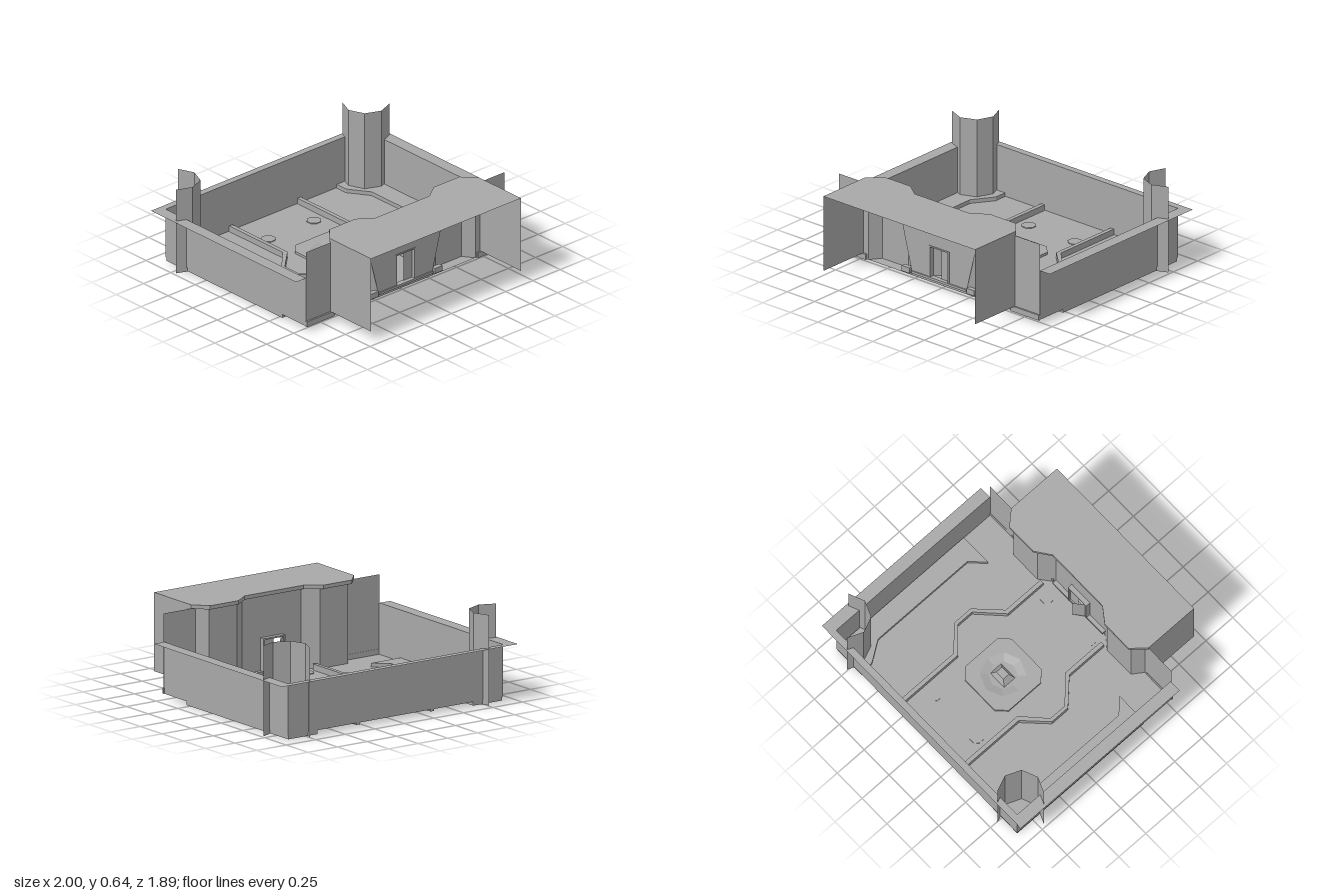
import * as THREE from 'three';

export function createModel() {
  const group = new THREE.Group();
  const grey = new THREE.MeshStandardMaterial({ color: 0xa8a8a8, side: THREE.DoubleSide });
  grey.name = 'plain grey';

  const add = (name, geometry, x = 0, y = 0, z = 0) => {
    const mesh = new THREE.Mesh(geometry, grey);
    mesh.name = name;
    mesh.position.set(x, y, z);
    group.add(mesh);
    return mesh;
  };
  const box = (name, x0, x1, y0, y1, z0, z1) =>
    add(name, new THREE.BoxGeometry(Math.abs(x1 - x0), y1 - y0, z1 - z0),
      (x0 + x1) / 2, (y0 + y1) / 2, (z0 + z1) / 2);

  // Upright thin wall that follows [x, z] points
  const ribbon = (name, pts, y0, y1) => {
    const v = [];
    for (let i = 0; i + 1 < pts.length; i++) {
      const [ax, az] = pts[i], [bx, bz] = pts[i + 1];
      v.push(ax, y0, az, bx, y0, bz, bx, y1, bz, ax, y0, az, bx, y1, bz, ax, y1, az);
    }
    const g = new THREE.BufferGeometry();
    g.setAttribute('position', new THREE.Float32BufferAttribute(v, 3));
    g.computeVertexNormals();
    return add(name, g);
  };
  // Plan outlines in [x, z]
  const outline = pts => pts.map(([x, z]) => new THREE.Vector2(x, -z));
  const sheet = (name, pts, y) =>
    add(name, new THREE.ShapeGeometry(new THREE.Shape(outline(pts))).rotateX(-Math.PI / 2), 0, y, 0);
  const slab = (name, pts, y0, y1, hole) => {
    const shape = new THREE.Shape(outline(pts));
    if (hole) shape.holes.push(new THREE.Path(outline(hole)));
    const g = new THREE.ExtrudeGeometry(shape, { depth: y1 - y0, bevelEnabled: false });
    return add(name, g.rotateX(-Math.PI / 2), 0, y0, 0);
  };
  const mirror = (pts, s) => pts.map(([x, z]) => [x * s, z]);
  const bothSides = half => [...half, ...mirror(half, -1).reverse()];

  // Floor, outer walls and flat rim
  const facade = [[0.66, 0.53], [0.645, 0.53], [0.59, 0.45], [0.35, 0.45], [0.25, 0.53]];
  sheet('floor', bothSides([[0.91, -0.9], [0.91, 0.53], [0.25, 0.53]]), 0.037);
  ribbon('outerWalls', [[-0.91, 0.53], [-0.91, -0.9], [0.91, -0.9], [0.91, 0.53]], 0.035, 0.4);
  sheet('rim', [[-1, 0.525], [-1, -0.95], [1, -0.95], [1, 0.525],
    [0.91, 0.525], [0.91, -0.9], [-0.91, -0.9], [-0.91, 0.525]], 0.4);

  // Parts repeated on both sides
  const pad = [[0.905, 0.28], [0.66, 0.28], [0.76, 0.18], [0.76, -0.65],
    [0.66, -0.8], [0.66, -0.895], [0.905, -0.895]];
  const ridge = [[0.33, -0.895], [0.33, -0.35], [0.49, -0.19], [0.49, -0.04], [0.32, 0.13], [0.32, 0.45],
    [0.29, 0.45], [0.29, 0.12], [0.465, -0.05], [0.465, -0.18], [0.3, -0.335], [0.3, -0.895]];
  for (const s of [-1, 1]) {
    slab('sidePad', mirror(pad, s), 0.006, 0.065);
    slab('floorRidge', mirror(ridge, s), 0.02, 0.08);

    // Open octagonal corner column
    const column = [];
    for (let i = 0; i < 5; i++) {
      const a = (135 - i * 45) * Math.PI / 180;
      column.push([s * (0.87 + -0.16 * Math.cos(a)), -0.83 + 0.16 * Math.sin(a)]);
    }
    ribbon('cornerColumn', column, 0.003, 0.64);

    // Tall front panel, its foot and the front side wall
    ribbon('frontPanel', [[s * 0.655, 0.53], [s * 0.915, 0.53]], 0.035, 0.6);
    box('panelFoot', s * 0.66, s * 0.915, 0.035, 0.075, 0.528, 0.542);
    box('ridgeFoot', s * 0.26, s * 0.33, 0.05, 0.09, 0.51, 0.545);
    ribbon('frontSideWall', [[s * 0.69, 0.53], [s * 0.69, 0.945]], 0.075, 0.605);
    ribbon('facade', mirror(facade, s), 0.037, 0.605);

    // Flush floor discs
    for (const z of [-0.63, 0.41]) {
      add('floorDisc', new THREE.CylinderGeometry(0.052, 0.052, 0.008, 8).rotateY(Math.PI / 8),
        s * 0.21, 0.038, z);
    }
  }

  // Middle of the facade: flared panel with a doorway
  const panel = new THREE.Shape([[-0.25, 0.037], [0.25, 0.037], [0.25, 0.07], [0.39, 0.605],
    [-0.39, 0.605], [-0.25, 0.07]].map(p => new THREE.Vector2(...p)));
  panel.holes.push(new THREE.Path([[-0.08, 0.072], [-0.08, 0.295], [0.08, 0.295], [0.08, 0.072]]
    .map(p => new THREE.Vector2(...p))));
  add('flaredPanel', new THREE.ShapeGeometry(panel), 0, 0, 0.531);
  for (const s of [-1, 1]) box('doorPost', s * 0.08, s * 0.092, 0.07, 0.305, 0.495, 0.535);
  box('doorLintel', -0.092, 0.092, 0.295, 0.305, 0.495, 0.535);
  ribbon('openDoorLeaf', [[-0.08, 0.5], [-0.01, 0.445]], 0.07, 0.295);
  ribbon('closedDoorLeaf', [[0, 0.51], [0.08, 0.51]], 0.07, 0.295);
  box('doorSill', -0.25, 0.25, 0.055, 0.072, 0.5, 0.54);

  // Front roof with a skirt on its back and sides
  const roofHalf = [[0.69, 0.945], [0.69, 0.52], [0.6, 0.42], [0.36, 0.42], [0.25, 0.5]];
  sheet('roof', bothSides(roofHalf), 0.63);
  ribbon('roofSkirt', bothSides(roofHalf), 0.603, 0.63);

  // Central pad with a shallow eight-sided dish and a small pedestal
  const cx = -0.005, cz = -0.195;
  const octagon = (r, c) => [[r, c], [c, r], [-c, r], [-r, c], [-r, -c], [-c, -r], [c, -r], [r, -c]]
    .map(([x, z]) => [x + cx, z + cz]);
  const ring = [];
  for (let i = 0; i < 8; i++) {
    const a = i * Math.PI / 4;
    ring.push([cx + 0.16 * Math.sin(a), cz + 0.16 * Math.cos(a)]);
  }
  slab('centrePad', octagon(0.218, 0.15), 0.002, 0.055, ring);
  add('dish', new THREE.LatheGeometry([[0.16, 0.055], [0.1, 0.04], [0, 0.04]]
    .map(p => new THREE.Vector2(...p)), 8).toNonIndexed(), cx, 0, cz).geometry.computeVertexNormals();
  sheet('padUnderside', octagon(0.218, 0.15), 0.002);
  const pedestal = new THREE.CylinderGeometry(0.05, 0.1, 0.05, 4).rotateY(Math.PI / 4).toNonIndexed();
  pedestal.scale(1, 1, 0.72);
  pedestal.computeVertexNormals();
  add('pedestal', pedestal, cx, 0.064, cz - 0.005);

  return group;
}
